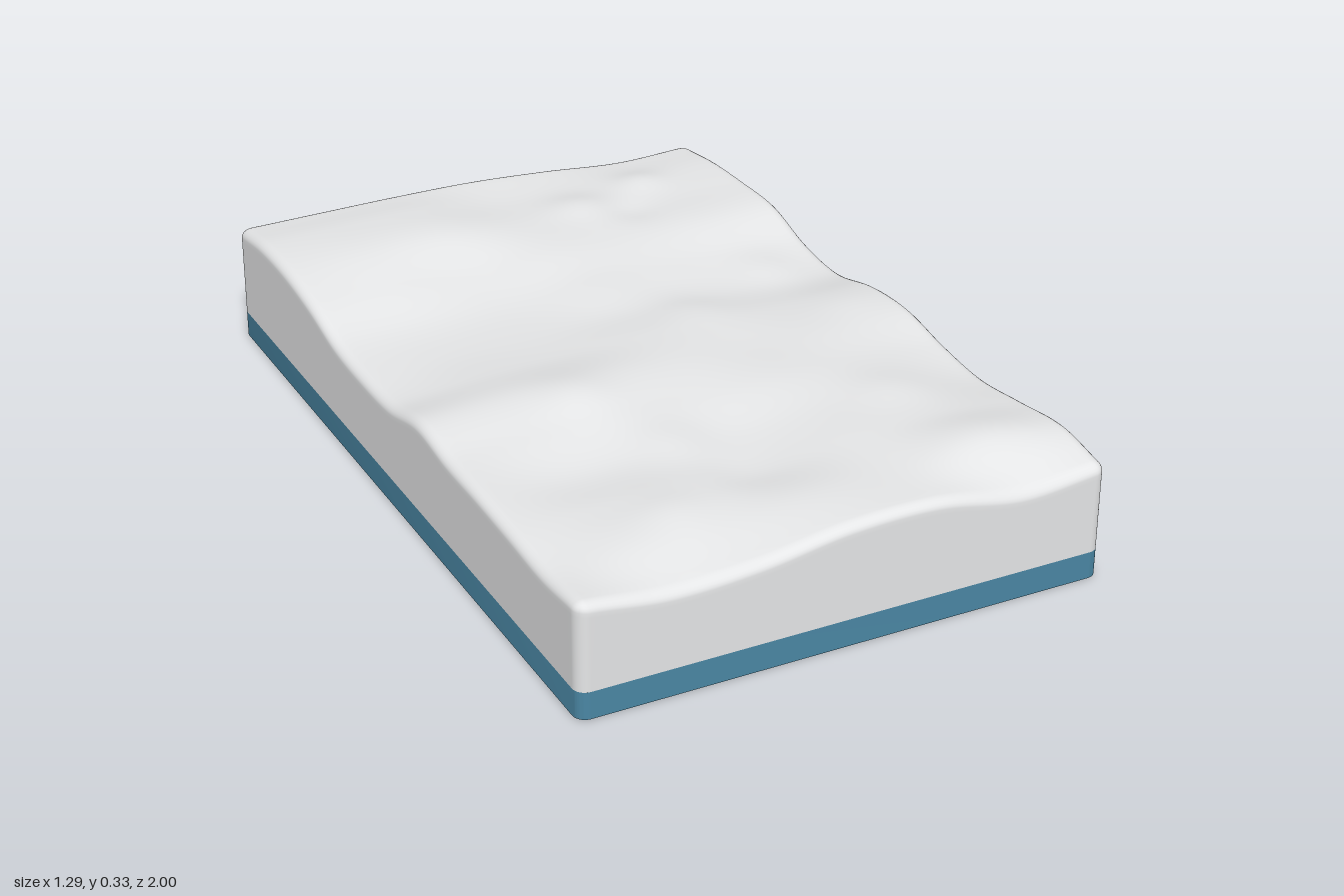
import * as THREE from 'three';
import { toCreasedNormals } from 'three/addons/utils/BufferGeometryUtils.js';

const HX = 0.645, HZ = 1, R = 0.03, DROP = 0.022, BASE = 0.067;

// Terrain heights in thousandths: rows run back to front, columns from -x to +x
const HEIGHTS = [
  [296, 299, 302, 302, 290, 272, 279],
  [316, 321, 322, 300, 292, 290, 298],
  [316, 326, 328, 308, 302, 298, 305],
  [297, 298, 290, 303, 298, 302, 304],
  [264, 263, 268, 282, 280, 272, 264],
  [256, 262, 270, 276, 270, 260, 253],
  [262, 280, 286, 294, 290, 282, 288],
  [298, 308, 313, 303, 294, 298, 300],
  [284, 291, 297, 292, 300, 294, 277],
  [282, 269, 276, 272, 295, 297, 266],
  [276, 282, 288, 278, 302, 306, 286],
  [268, 286, 284, 300, 305, 327, 306],
  [281, 255, 266, 299, 302, 266, 284],
];

// Small knolls and dents: x, z, height, radius
const KNOLLS = [
  [-0.28, 0.24, 0.014, 0.09], [0.18, -0.72, 0.012, 0.08], [0.4, -0.8, 0.014, 0.07],
  [-0.16, 0.48, 0.013, 0.09], [-0.3, 0.76, 0.011, 0.09], [0.38, 0.5, 0.008, 0.09],
  [0.18, -0.1, 0.009, 0.09], [0.48, -0.24, 0.009, 0.08], [0.03, -0.28, 0.006, 0.1],
  [0.52, 0.05, 0.008, 0.1], [-0.08, 0.66, -0.008, 0.09], [0.3, -0.64, -0.008, 0.07],
];

// Catmull-Rom interpolation along a list
function spline(list, t) {
  const n = list.length - 1;
  const i = Math.min(Math.floor(t * n), n - 1), f = t * n - i;
  const a = list[Math.max(i - 1, 0)], b = list[i], c = list[i + 1], d = list[Math.min(i + 2, n)];
  return b + 0.5 * f * (c - a + f * (2 * a - 5 * b + 4 * c - d + f * (3 * (b - c) + d - a)));
}

function heightAt(x, z) {
  const u = THREE.MathUtils.clamp((x / HX + 1) / 2, 0, 1);
  const v = THREE.MathUtils.clamp((z / HZ + 1) / 2, 0, 1);
  const broad = spline(HEIGHTS.map((row) => spline(row, u)), v) / 1000;
  return KNOLLS.reduce((y, [kx, kz, h, r]) =>
    y + h * Math.exp(-((x - kx) ** 2 + (z - kz) ** 2) / (r * r)), broad);
}

// One sheet draped over the block: hills inside, rounded rim, then straight walls
function drapedTerrain() {
  const NX = 64, NZ = 100, ARC = 6, RINGS = ARC + 3;
  const geo = new THREE.PlaneGeometry(1, 1, NX + 2 * RINGS, NZ + 2 * RINGS).rotateX(-Math.PI / 2);
  const pos = geo.attributes.position;
  const cols = NX + 2 * RINGS + 1;
  const axis = (i, n, half) => {
    const k = THREE.MathUtils.clamp(i - RINGS, 0, n);
    return { inner: (k / n * 2 - 1) * (half - R), over: i - RINGS - k };
  };
  for (let i = 0; i < pos.count; i++) {
    const ax = axis(i % cols, NX, HX), az = axis(Math.floor(i / cols), NZ, HZ);
    const ring = Math.max(Math.abs(ax.over), Math.abs(az.over));
    const len = Math.hypot(ax.over, az.over) || 1;
    const angle = Math.min(ring / ARC, 1) * Math.PI / 2;
    const out = R * Math.sin(angle);
    const x = ax.inner + ax.over / len * out, z = az.inner + az.over / len * out;
    let y = heightAt(x, z) - DROP * (1 - Math.cos(angle));
    if (ring > ARC) y = [y - 0.01, BASE + 0.01, BASE][ring - ARC - 1];
    pos.setXYZ(i, x, y, z);
  }
  geo.computeVertexNormals();
  return geo;
}

// Flat plate with rounded corners, standing on y = 0
function basePlate() {
  const s = new THREE.Shape(), q = Math.PI / 2;
  s.absarc(HX - R, HZ - R, R, 0, q);
  s.absarc(R - HX, HZ - R, R, q, 2 * q);
  s.absarc(R - HX, R - HZ, R, 2 * q, 3 * q);
  s.absarc(HX - R, R - HZ, R, 3 * q, 4 * q);
  const geo = new THREE.ExtrudeGeometry(s, { depth: BASE, bevelEnabled: false, curveSegments: 8 });
  return toCreasedNormals(geo.rotateX(-Math.PI / 2), 0.6);
}

export function createModel() {
  const group = new THREE.Group();
  group.name = 'terrainBlock';
  const grey = new THREE.MeshStandardMaterial({ color: 0xe5e6e7 });
  grey.name = 'lightGrey';
  const blue = new THREE.MeshStandardMaterial({ color: 0x4a86a3 });
  blue.name = 'slateBlue';

  const terrain = new THREE.Mesh(drapedTerrain(), grey);
  terrain.name = 'terrain';
  const base = new THREE.Mesh(basePlate(), blue);
  base.name = 'basePlate';
  group.add(terrain, base);
  return group;
}
